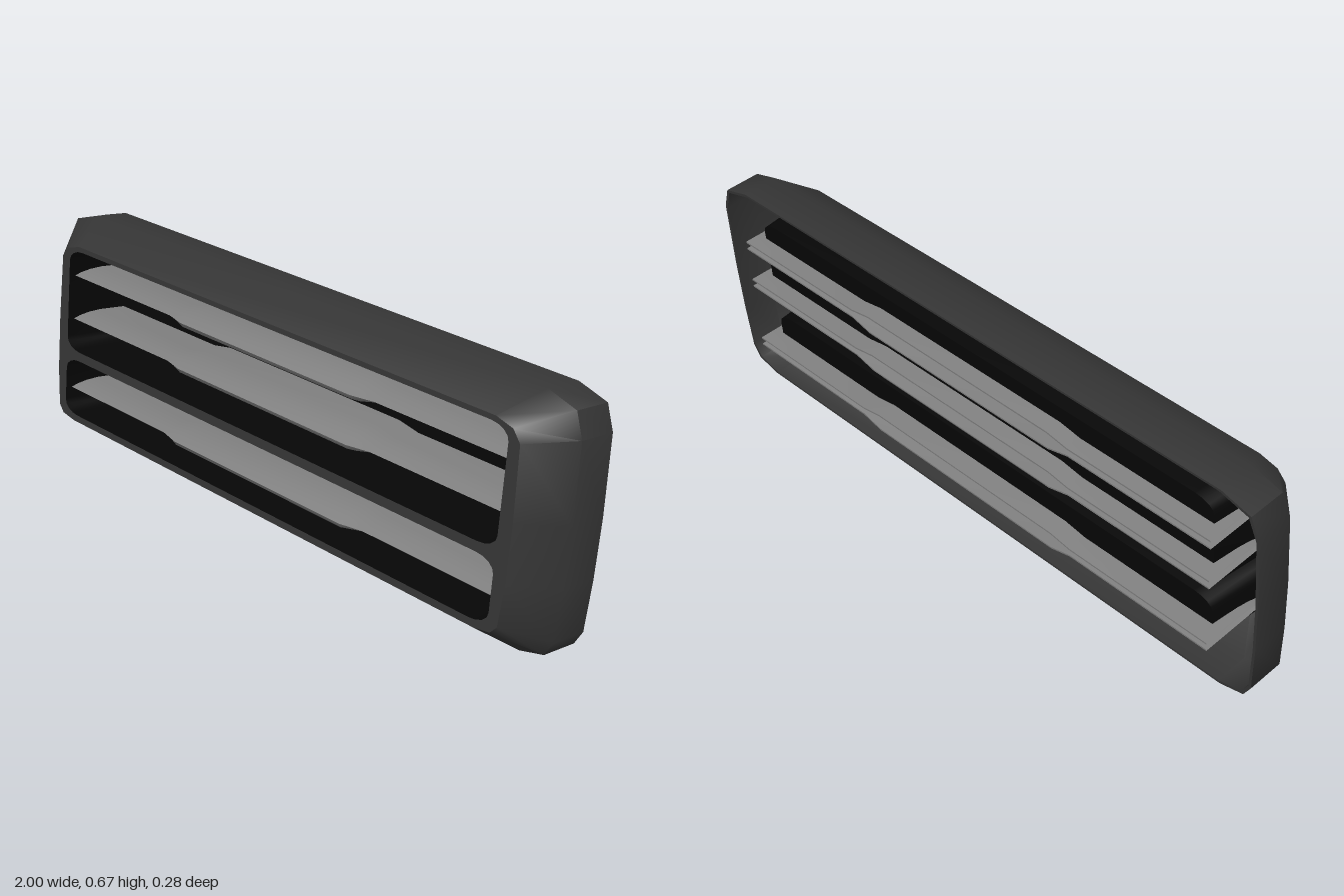
import * as THREE from 'three';
import { toCreasedNormals } from 'three/addons/utils/BufferGeometryUtils.js';

const frameGrey = new THREE.MeshStandardMaterial({ color: 0x353535, side: THREE.DoubleSide });
frameGrey.name = 'charcoal';
const insideBlack = new THREE.MeshStandardMaterial({ color: 0x060606, side: THREE.DoubleSide });
insideBlack.name = 'black';
const slatGrey = new THREE.MeshStandardMaterial({ color: 0x808080, side: THREE.DoubleSide });
slatGrey.name = 'grey';

// Half outlines (x, y), from bottom to top
const OUTER = [[0.89, 0], [0.965, 0.02], [0.988, 0.06], [0.997, 0.2], [1, 0.36], [0.995, 0.57], [0.97, 0.635], [0.88, 0.66]];
const FACE = [[0.82, 0.06], [0.875, 0.068], [0.895, 0.09], [0.905, 0.2], [0.906, 0.36], [0.9, 0.55], [0.875, 0.58], [0.82, 0.594]];
const FRONT = 0.207;
const RECESS = 0.02;

function mirrorLoop(half) {
  return [...half, ...half.map(([x, y]) => [-x, y]).reverse()];
}

// Skin through closed rings with equal point counts
function loft(rings, crease) {
  const n = rings[0].length, pos = [], idx = [];
  for (const ring of rings) for (const p of ring) pos.push(...p);
  for (let r = 0; r < rings.length - 1; r++) {
    for (let i = 0; i < n; i++) {
      const a = r * n + i, b = r * n + (i + 1) % n;
      idx.push(a, b, b + n, a, b + n, a + n);
    }
  }
  const g = new THREE.BufferGeometry();
  g.setAttribute('position', new THREE.Float32BufferAttribute(pos, 3));
  g.setIndex(idx);
  return toCreasedNormals(g, crease);
}

const atDepth = (loop, z) => loop.map(([x, y]) => [x, y, z]);
const toPoints = loop => loop.map(([x, y]) => new THREE.Vector2(x, y));

// Opening outline with softened corners
function openingLoop(w, y0, y1) {
  const rx = 0.06, ry = 0.035, half = [];
  for (let i = 0; i <= 4; i++) {
    const t = i / 4 * Math.PI / 2;
    half.push([w - rx + rx * Math.sin(t), y0 + ry - ry * Math.cos(t)]);
  }
  for (let i = 0; i <= 4; i++) {
    const t = i / 4 * Math.PI / 2;
    half.push([w - rx + rx * Math.cos(t), y1 - ry + ry * Math.sin(t)]);
  }
  return mirrorLoop(half);
}

// Folded sheet (z, y): flat above and below, rounded nose in front, open at the back
function slatSection(x, y, back, nose, up, down) {
  const fold = [
    [back, up], [0.1, up], [nose - 0.05, up * 0.75], [nose - 0.02, up * 0.3], [nose, -0.003],
    [nose - 0.008, -down * 0.5], [nose - 0.04, -down * 0.9], [back, -down],
  ];
  const lining = fold.map(([z, h], i) => {
    const dy = i < 3 ? -0.005 : i > 5 ? 0.005 : 0;
    return [i > 1 && i < 7 ? z - 0.006 : z, h + dy];
  }).reverse();
  return [...fold, ...lining].map(([z, h]) => [x, y + h, z]);
}

// Slat that swells in the middle
function slat(y, back) {
  const end = x => slatSection(x, y, back, 0.188, 0.016, 0.012);
  const mid = x => slatSection(x, y, back, 0.206, 0.028, 0.03);
  return loft([end(0.876), end(0.41), mid(0.34), mid(-0.34), end(-0.41), end(-0.876)], 0.7);
}

export function createModel() {
  const model = new THREE.Group();
  model.name = 'airVent';
  const vent = new THREE.Group();
  vent.name = 'tiltedVent';
  model.add(vent);
  const add = (name, geometry, material) => {
    const m = new THREE.Mesh(geometry, material);
    m.name = name;
    vent.add(m);
  };

  // Hollow bezel: inner wall, thin back rim, outer wall, bevel
  const outer = mirrorLoop(OUTER), face = mirrorLoop(FACE);
  const inner = outer.map(([x, y]) => [x * 0.992, 0.33 + (y - 0.33) * 0.98]);
  add('bezel', loft([
    atDepth(face, FRONT - 0.01), atDepth(inner, 0.1), atDepth(inner, 0),
    atDepth(outer, 0), atDepth(outer, 0.108), atDepth(face, FRONT),
  ], 0.9), frameGrey);

  // Front face with two openings
  const spans = [['lower', 0.08, 0.25], ['upper', 0.277, 0.58]];
  const shape = new THREE.Shape(toPoints(face));
  shape.holes = spans.map(([, y0, y1]) => new THREE.Path(toPoints(openingLoop(0.865, y0, y1))));
  add('frontFace', new THREE.ShapeGeometry(shape).translate(0, 0, FRONT), frameGrey);

  // Dark tapered recess behind each opening
  for (const [name, y0, y1] of spans) {
    const mouth = openingLoop(0.865, y0, y1), floor = openingLoop(0.845, y0 + 0.004, y1 - 0.004);
    add(name + 'RecessWall', loft([atDepth(floor, RECESS), atDepth(mouth, FRONT)], 0.9), insideBlack);
    const plate = new THREE.ShapeGeometry(new THREE.Shape(toPoints(floor)));
    add(name + 'RecessBack', plate.translate(0, 0, RECESS), insideBlack);
  }

  // Three slats
  [[0.153, -0.037], [0.367, -0.031], [0.499, -0.028]].forEach(([y, back], i) => {
    add('slat' + (i + 1), slat(y, back), slatGrey);
  });

  // Lean backwards
  vent.rotation.x = -0.091;
  vent.position.set(0, 0.002, -0.063);
  return model;
}
